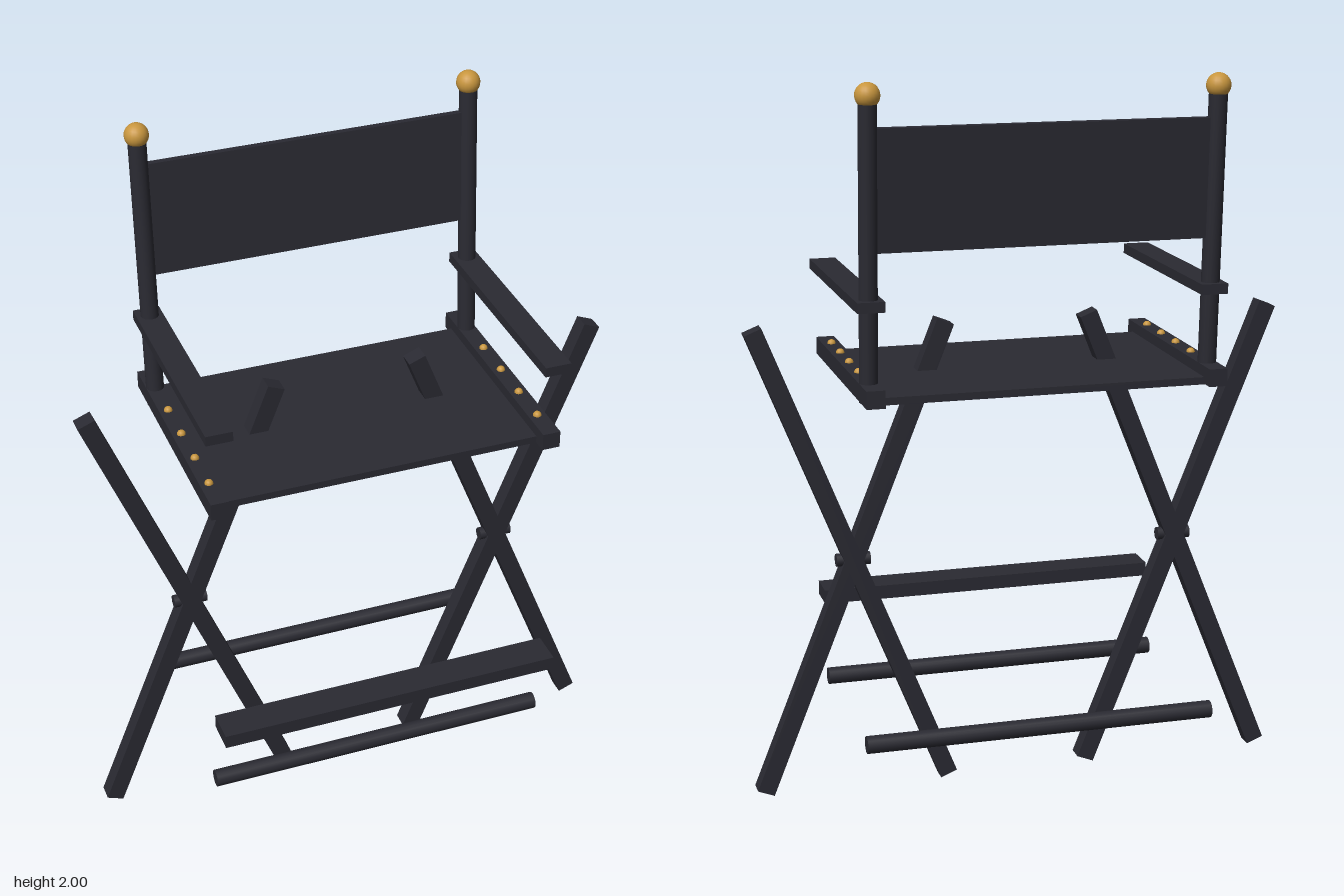
import * as THREE from 'three';

export function createModel() {
  const group = new THREE.Group();
  const dark = new THREE.MeshStandardMaterial({ color: 0x2a2a32 });
  dark.name = 'charcoal';
  const gold = new THREE.MeshStandardMaterial({ color: 0xc8963e });
  gold.name = 'brass';

  const add = (name, geometry, material, x, y, z) => {
    const mesh = new THREE.Mesh(geometry, material);
    mesh.name = name;
    mesh.position.set(x, y, z);
    group.add(mesh);
    return mesh;
  };
  const box = (name, w, h, d, x, y, z) => add(name, new THREE.BoxGeometry(w, h, d), dark, x, y, z);
  const rod = (name, r, length, x, y, z) => add(name, new THREE.CylinderGeometry(r, r, length, 16), dark, x, y, z);

  const sideX = 0.465; // centre of each side frame
  const midZ = -0.024; // centre of the seat frame
  const lean = 0.057; // backward lean of the backrest

  for (const side of [-1, 1]) {
    const x = side * sideX;
    const label = side > 0 ? 'left' : 'right';

    // Crossed legs with a pivot pin
    for (const tilt of [-1, 1]) {
      box(label + (tilt === side ? 'Inner' : 'Outer') + 'Leg', 0.05, 1.414, 0.048, x, 0.667, midZ)
        .rotation.z = tilt * 0.38;
    }
    rod(label + 'Pivot', 0.018, 0.095, x, 0.667, midZ).rotation.z = Math.PI / 2;

    // Seat rail with a row of studs
    box(label + 'SeatRail', 0.05, 0.048, 0.684, x, 1.198, midZ);
    for (let i = -2; i <= 2; i++) {
      add(label + 'Stud', new THREE.SphereGeometry(0.012, 12, 8), gold, x, 1.222, midZ - i * 0.123);
    }

    // Leaning post, finial and armrest
    rod(label + 'Post', 0.025, 0.78, x, 1.56, -0.294).rotation.x = -lean;
    add(label + 'Finial', new THREE.SphereGeometry(0.033, 20, 14), gold, x, 1.967, -0.317);
    box(label + 'Armrest', 0.073, 0.028, 0.66, x, 1.43, 0.004);
  }

  // Fabric seat and back
  box('seat', 0.9, 0.02, 0.6, 0, 1.182, midZ);
  box('backrest', 0.9, 0.32, 0.02, 0, 1.725, -0.304).rotation.x = -lean;

  // Footrest and lower stretchers
  box('footrest', 0.98, 0.04, 0.095, 0, 0.46, 0.32);
  for (const z of [0.248, -0.291]) {
    rod(z > 0 ? 'frontStretcher' : 'backStretcher', 0.024, 0.98, 0, 0.227, z).rotation.z = Math.PI / 2;
  }

  return group;
}
